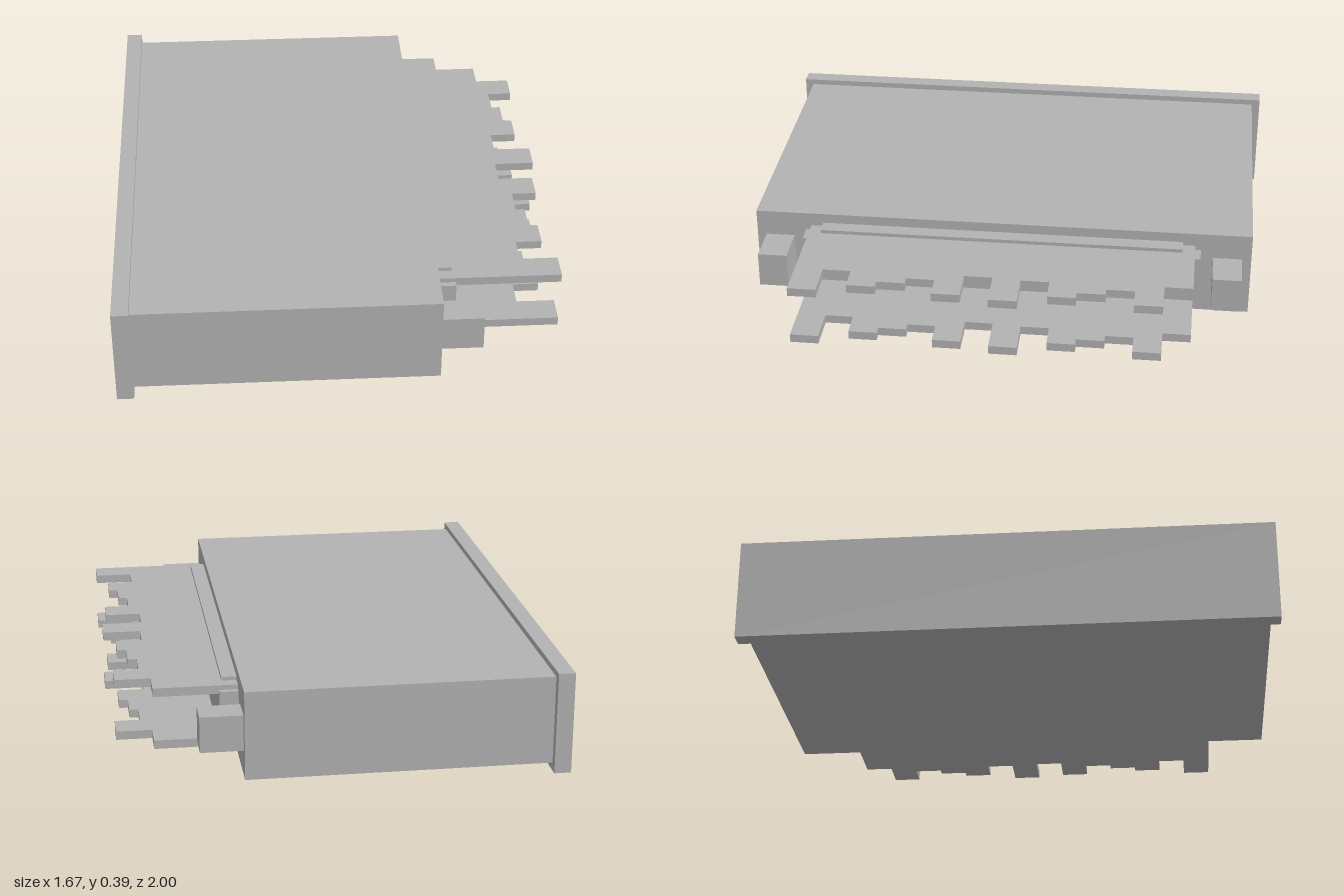
import * as THREE from 'three';

export function createModel() {
  const group = new THREE.Group();
  const grey = new THREE.MeshStandardMaterial({ color: 0xb2b2b2 });
  grey.name = 'light grey';

  const add = (name, geometry) => {
    const mesh = new THREE.Mesh(geometry, grey);
    mesh.name = name;
    group.add(mesh);
    return mesh;
  };

  // Box given by its lower and upper limits
  const box = (name, x0, x1, y0, y1, z0, z1) =>
    add(name, new THREE.BoxGeometry(x1 - x0, y1 - y0, z1 - z0))
      .position.set((x0 + x1) / 2, (y0 + y1) / 2, (z0 + z1) / 2);

  // Housing: end flange, main body and the raised collar on the contact side
  box('flange', -0.835, -0.772, 0, 0.39, -1, 1);
  box('body', -0.772, 0.367, 0.029, 0.368, -0.967, 0.967);
  box('collar', 0.367, 0.437, 0.096, 0.298, -0.772, 0.772);

  // Guide pegs at both ends
  for (const side of [-1, 1]) {
    const z = side * 0.876;
    box(side > 0 ? 'frontPeg' : 'backPeg', 0.367, 0.526, 0.129, 0.266, z - 0.056, z + 0.056);
  }

  // Stepped edge of a contact plate: seven tooth lengths, repeated twice
  const teeth = [0.68, 0.815, 0.72, 0.755, 0.79, 0.69, 0.835];
  const width = 1.5 / 14;
  const outline = new THREE.Shape();
  outline.moveTo(0.367, -0.75);
  for (let i = 0; i < 14; i++) {
    const x = teeth[i % 7];
    outline.lineTo(x, -0.75 + i * width);
    outline.lineTo(x, -0.75 + (i + 1) * width);
  }
  outline.lineTo(0.367, 0.75);
  outline.closePath();
  const plate = new THREE.ExtrudeGeometry(outline, { depth: 0.033, bevelEnabled: false });
  plate.rotateX(Math.PI / 2);

  // Upper and lower contact plates with their retaining strips
  add('upperPlate', plate).position.y = 0.316;
  add('lowerPlate', plate).position.y = 0.111;
  box('upperStrip', 0.367, 0.424, 0.3, 0.33, -0.702, 0.702);
  box('lowerStrip', 0.367, 0.424, 0.066, 0.09, -0.702, 0.702);

  return group;
}
